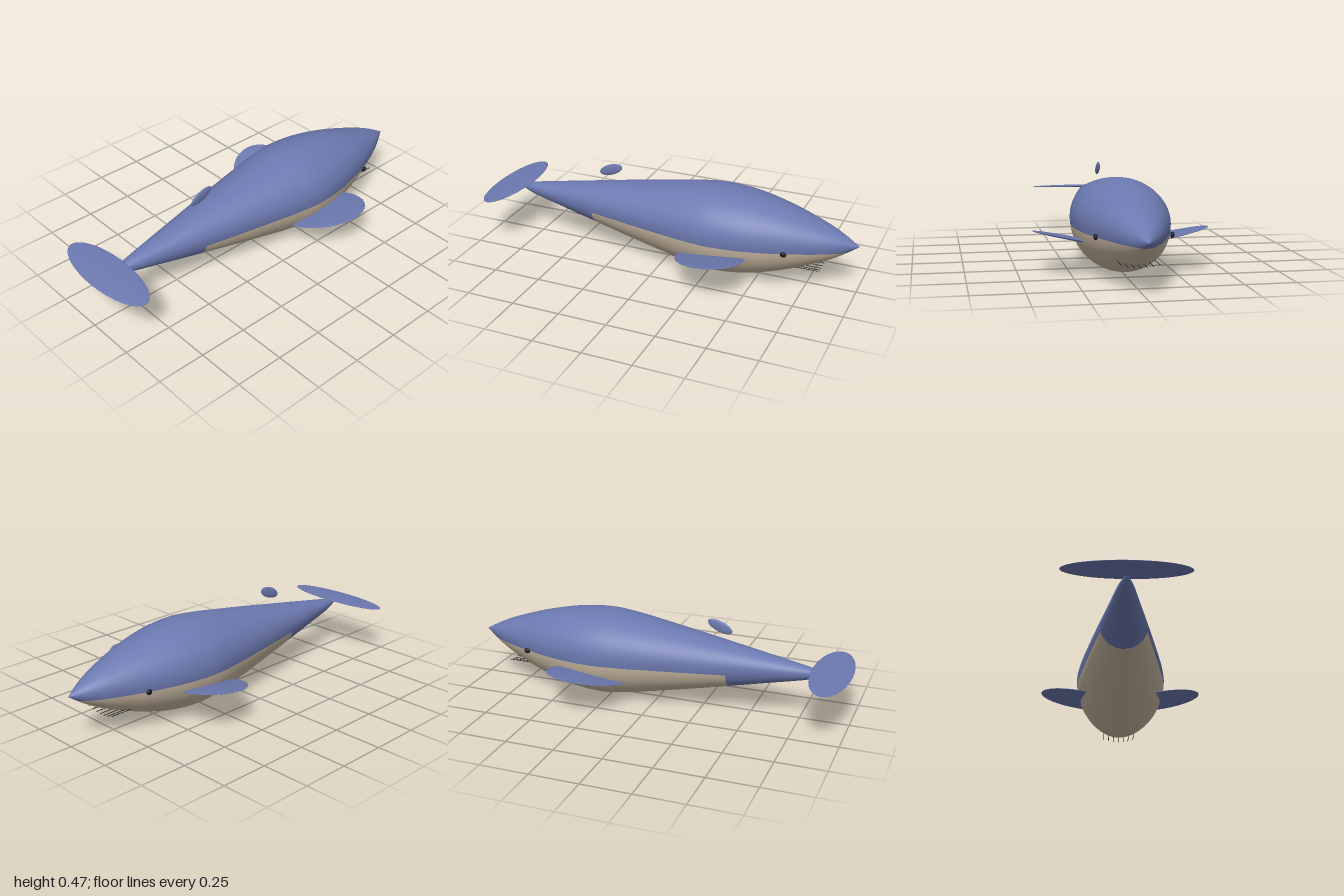
import * as THREE from 'three';

const mat = (name, color) => {
  const m = new THREE.MeshStandardMaterial({ color });
  m.name = name;
  return m;
};

// Body stations along x: [x, radius factor]
const STATIONS = [
  [-0.88, 0], [-0.8, 0.125], [-0.6, 0.31], [-0.39, 0.495], [-0.2, 0.66], [0, 0.825],
  [0.15, 0.94], [0.28, 1], [0.42, 0.96], [0.6, 0.785], [0.8, 0.475], [0.9, 0.27], [1, 0],
];
const SPLIT = 3 / (STATIONS.length - 1); // where the pale belly begins
const CENTRE = 0.253, HALF_WIDTH = 0.235, TOP = 0.197, BOTTOM = 0.251, BELLY_LINE = 0.222;
const spine = new THREE.CatmullRomCurve3(STATIONS.map(([x, r]) => new THREE.Vector3(x, r, 0)));

// Point on the body skin: u runs tail to nose, t runs around the section
function skin(u, t) {
  const p = spine.getPoint(u), r = Math.max(0, p.y), s = Math.sin(t);
  return new THREE.Vector3(p.x, CENTRE + s * r * (s > 0 ? TOP : BOTTOM), Math.cos(t) * r * HALF_WIDTH);
}

function skinNormal(u, t) {
  const c = THREE.MathUtils.clamp(u, 0.006, 0.994), e = 0.004;
  const du = skin(c + e, t).sub(skin(c - e, t));
  const dt = skin(c, t + e).sub(skin(c, t - e));
  return du.cross(dt).normalize();
}

// Angle below the horizontal at which the section meets the belly line
function bellyAngle(u) {
  const depth = BOTTOM * Math.max(1e-4, spine.getPoint(u).y);
  return Math.asin(Math.min(1, (CENTRE - BELLY_LINE) / depth));
}

// Patch of skin between u0 and u1, with the angle range given per section
function patch(u0, u1, rows, cols, range) {
  const pos = [], nor = [], index = [];
  for (let i = 0; i <= rows; i++) {
    const u = u0 + ((u1 - u0) * i) / rows;
    const [a, b] = range(u);
    for (let j = 0; j <= cols; j++) {
      const t = a + ((b - a) * j) / cols;
      pos.push(...skin(u, t).toArray());
      nor.push(...skinNormal(u, t).toArray());
      if (i < rows && j < cols) {
        const k = i * (cols + 1) + j, n = k + cols + 1;
        index.push(k, n, n + 1, k, n + 1, k + 1);
      }
    }
  }
  const g = new THREE.BufferGeometry();
  g.setAttribute('position', new THREE.Float32BufferAttribute(pos, 3));
  g.setAttribute('normal', new THREE.Float32BufferAttribute(nor, 3));
  g.setIndex(index);
  return g;
}

// Flat rounded flipper, swept and rising outwards; side is +1 or -1 in z
function flipperGeometry(side) {
  const g = new THREE.SphereGeometry(1, 48, 24);
  const p = g.attributes.position;
  for (let i = 0; i < p.count; i++) {
    const vx = p.getX(i), vy = p.getY(i), vz = p.getZ(i);
    const x = 0.31 + 0.04 * side * vz + 0.1806 * vx;
    const z = side * 0.22 + 0.21 * vz;
    const y = 0.133 + 0.125 * (x - 0.13) + 0.22 * (side * z - 0.2) + 0.01 * vy;
    p.setXYZ(i, x, y, z);
  }
  g.computeVertexNormals();
  return g;
}

export function createModel() {
  const blue = mat('slate blue', 0x6c79b0);
  const cream = mat('pale belly', 0xc6b6a0);
  const black = mat('black', 0x1c1c1f);
  const model = new THREE.Group();
  model.name = 'whale';

  const add = (name, geometry, material, parent = model) => {
    const m = new THREE.Mesh(geometry, material);
    m.name = name;
    parent.add(m);
    return m;
  };
  const ellipsoid = (name, material, [x, y, z], [a, b, c], tilt = 0) => {
    const m = add(name, new THREE.SphereGeometry(1, 40, 20), material);
    m.position.set(x, y, z);
    m.scale.set(a, b, c);
    m.rotation.z = tilt;
    return m;
  };

  // Body: tail stock, back and belly share one skin
  add('tailStock', patch(0, SPLIT, 24, 64, () => [-Math.PI / 2, Math.PI * 1.5]), blue);
  add('back', patch(SPLIT, 1, 80, 48, (u) => [-bellyAngle(u), Math.PI + bellyAngle(u)]), blue);
  add('belly', patch(SPLIT, 1, 80, 40, (u) => [bellyAngle(u) - Math.PI, -bellyAngle(u)]), cream);

  // Tail fluke and the small fin above the back
  ellipsoid('tailFluke', blue, [-0.9, 0.267, 0], [0.1, 0.007, 0.296], 0.1);
  ellipsoid('dorsalFin', blue, [-0.325, 0.433, 0], [0.068, 0.028, 0.008], 0.38);

  // Paired flippers and eyes
  for (const side of [1, -1]) {
    add(side > 0 ? 'frontFlipper' : 'rearFlipper', flipperGeometry(side), blue);
    ellipsoid('eye', black, [0.67, 0.229, side * 0.177], [0.016, 0.014, 0.009]);
  }

  // Thin bristles under the chin
  const bristles = new THREE.Group();
  bristles.name = 'chinBristles';
  model.add(bristles);
  const rod = new THREE.CylinderGeometry(0.0016, 0.0016, 0.14, 6);
  rod.rotateZ(Math.PI / 2);
  for (let i = -3; i <= 3; i++) {
    add('bristle', rod, black, bristles).position.set(0.755, 0.111 + 0.0015 * i * i, i * 0.0285);
  }
  return model;
}
